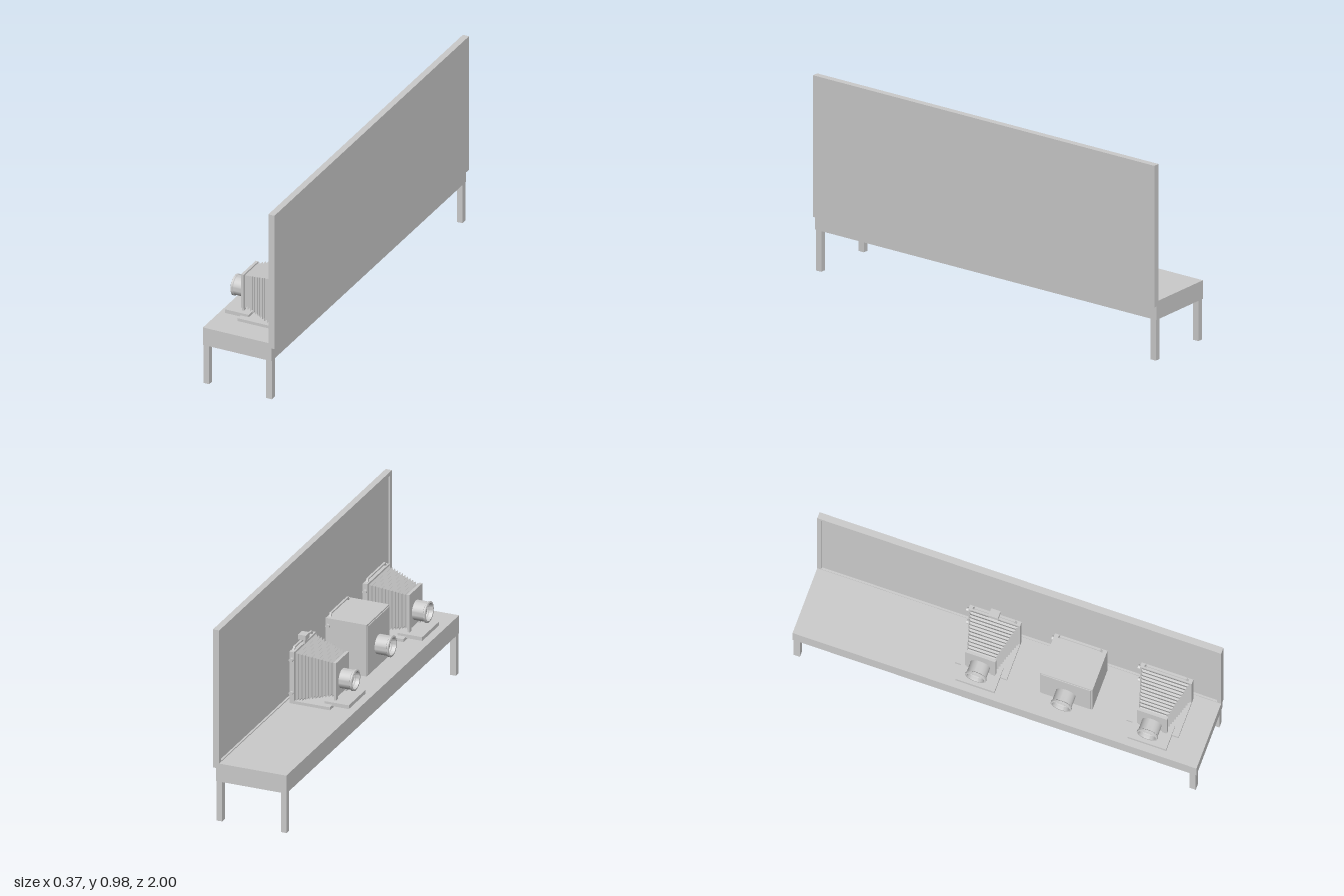
import * as THREE from 'three';
import { toCreasedNormals } from 'three/addons/utils/BufferGeometryUtils.js';

const grey = new THREE.MeshStandardMaterial({ color: 0xcccccc });

function add(parent, name, geometry) {
  const mesh = new THREE.Mesh(geometry, grey);
  mesh.name = name;
  parent.add(mesh);
  return mesh;
}

// Box given by its lower and upper limits on each axis
function box(parent, name, x0, x1, y0, y1, z0, z1) {
  const mesh = add(parent, name, new THREE.BoxGeometry(x1 - x0, y1 - y0, z1 - z0));
  mesh.position.set((x0 + x1) / 2, (y0 + y1) / 2, (z0 + z1) / 2);
  return mesh;
}

// Hollow lens barrel pointing along -x, with a recessed glass
function addLens(parent) {
  const profile = [
    [0.044, 0], [0.048, 0], [0.048, 0.06], [0.052, 0.063], [0.052, 0.071],
    [0.049, 0.073], [0.043, 0.073], [0.040, 0.055], [0.036, 0.052], [0.036, 0.045],
  ].map(([r, y]) => new THREE.Vector2(r, y));
  // Domed glass closes the barrel
  for (let i = 0; i <= 5; i++) {
    const r = 0.036 * (1 - i / 5);
    profile.push(new THREE.Vector2(r, 0.045 + 0.008 * (1 - (r / 0.036) ** 2)));
  }
  const geometry = new THREE.LatheGeometry(profile, 40);
  geometry.rotateZ(Math.PI / 2);
  add(parent, 'lens', toCreasedNormals(geometry, 0.6)).position.set(-0.077, 0.41, 0);
}

// Pleated, tapering bellows: rectangular sections alternately wide and narrow
function bellowsGeometry() {
  const pleats = 12, sections = [];
  for (let i = 0; i <= pleats * 2; i++) {
    const t = i / (pleats * 2);
    const inset = i % 2 ? 0 : 0.009;
    const x = THREE.MathUtils.lerp(-0.068, 0.112, t);
    const h = THREE.MathUtils.lerp(0.086, 0.126, t) - inset;
    const w = THREE.MathUtils.lerp(0.07, 0.122, t) - inset;
    const cy = THREE.MathUtils.lerp(0.427, 0.43, t);
    sections.push([[1, 1], [-1, 1], [-1, -1], [1, -1]].map(([a, b]) => [x, cy + a * h, b * w]));
  }
  const positions = [];
  for (let i = 0; i < sections.length - 1; i++) {
    for (let k = 0; k < 4; k++) {
      const n = (k + 1) % 4;
      const a = sections[i][k], b = sections[i][n], c = sections[i + 1][n], d = sections[i + 1][k];
      positions.push(...a, ...b, ...c, ...a, ...c, ...d);
    }
  }
  const geometry = new THREE.BufferGeometry();
  geometry.setAttribute('position', new THREE.Float32BufferAttribute(positions, 3));
  geometry.computeVertexNormals();
  return geometry;
}

// Carrying handle along the top rear edge and catches on one side
function addFittings(parent) {
  const shape = new THREE.Shape();
  shape.moveTo(-0.11, 0);
  shape.lineTo(-0.1, 0.018);
  shape.lineTo(0.1, 0.018);
  shape.lineTo(0.11, 0);
  shape.lineTo(0.1, 0);
  shape.lineTo(0.094, 0.011);
  shape.lineTo(-0.094, 0.011);
  shape.lineTo(-0.1, 0);
  const geometry = new THREE.ExtrudeGeometry(shape, { depth: 0.01, bevelEnabled: false });
  geometry.rotateY(Math.PI / 2);
  add(parent, 'handle', geometry).position.set(0.117, 0.557, 0);
  for (const y of [0.35, 0.52]) {
    const knob = add(parent, 'sideCatch', new THREE.CylinderGeometry(0.01, 0.01, 0.014, 16));
    knob.rotation.x = Math.PI / 2;
    knob.position.set(0.122, y, -0.134);
  }
}

function bellowsCamera(withFinder) {
  const g = new THREE.Group();
  g.name = 'bellowsCamera';
  // Folding bed and its sliding front
  box(g, 'bed', -0.073, 0.112, 0.295, 0.31, -0.128, 0.128);
  box(g, 'slidingBed', -0.155, -0.03, 0.303, 0.322, -0.096, 0.096);
  // Front and rear standards
  box(g, 'frontStandard', -0.081, -0.067, 0.338, 0.515, -0.075, 0.075);
  for (const s of [-1, 1]) {
    box(g, 'standardPost', -0.079, -0.069, 0.32, 0.34, s * 0.06 - 0.01, s * 0.06 + 0.01);
  }
  box(g, 'rearStandard', 0.11, 0.134, 0.295, 0.558, -0.128, 0.128);
  add(g, 'bellows', bellowsGeometry());
  addLens(g);
  addFittings(g);
  if (withFinder) {
    // Small viewfinder on a two-legged bracket
    box(g, 'viewfinder', 0.097, 0.136, 0.577, 0.602, -0.023, 0.023);
    for (const x of [0.104, 0.122]) box(g, 'finderBracket', x, x + 0.008, 0.555, 0.58, -0.012, 0.012);
  }
  return g;
}

function boxCamera() {
  const g = new THREE.Group();
  g.name = 'boxCamera';
  box(g, 'cameraBody', -0.075, 0.134, 0.295, 0.558, -0.13, 0.13);
  box(g, 'frontPanel', -0.079, -0.074, 0.303, 0.55, -0.122, 0.122);
  addLens(g);
  addFittings(g);
  return g;
}

export function createModel() {
  const model = new THREE.Group();
  model.name = 'cameraDisplayBench';

  // Bench: top, open apron and four legs
  const bench = new THREE.Group();
  bench.name = 'bench';
  model.add(bench);
  box(bench, 'benchTop', -0.187, 0.172, 0.275, 0.295, -1, 1);
  box(bench, 'frontApron', -0.187, -0.172, 0.203, 0.275, -1, 1);
  box(bench, 'backApron', 0.157, 0.172, 0.203, 0.275, -1, 1);
  for (const s of [-1, 1]) {
    box(bench, 'endApron', -0.172, 0.157, 0.203, 0.275, s * 0.9925 - 0.0075, s * 0.9925 + 0.0075);
    for (const x of [-0.186, 0.142]) {
      box(bench, 'leg', x, x + 0.029, 0, 0.275, s * 0.98 - 0.016, s * 0.98 + 0.016);
    }
  }

  // Upright board with a raised rim around its inner face
  const board = new THREE.Group();
  board.name = 'backBoard';
  model.add(board);
  box(board, 'boardPanel', 0.165, 0.187, 0.27, 0.975, -1, 1);
  box(board, 'topRim', 0.155, 0.165, 0.955, 0.975, -1, 1);
  box(board, 'bottomRim', 0.155, 0.165, 0.27, 0.3, -1, 1);
  for (const s of [-1, 1]) {
    box(board, 'sideRim', 0.155, 0.165, 0.3, 0.955, s * 0.99 - 0.01, s * 0.99 + 0.01);
  }

  // Three display cameras along the bench
  const cameras = [[bellowsCamera(true), -0.108], [boxCamera(), 0.315], [bellowsCamera(false), 0.742]];
  for (const [camera, z] of cameras) {
    camera.position.z = z;
    model.add(camera);
  }
  return model;
}
